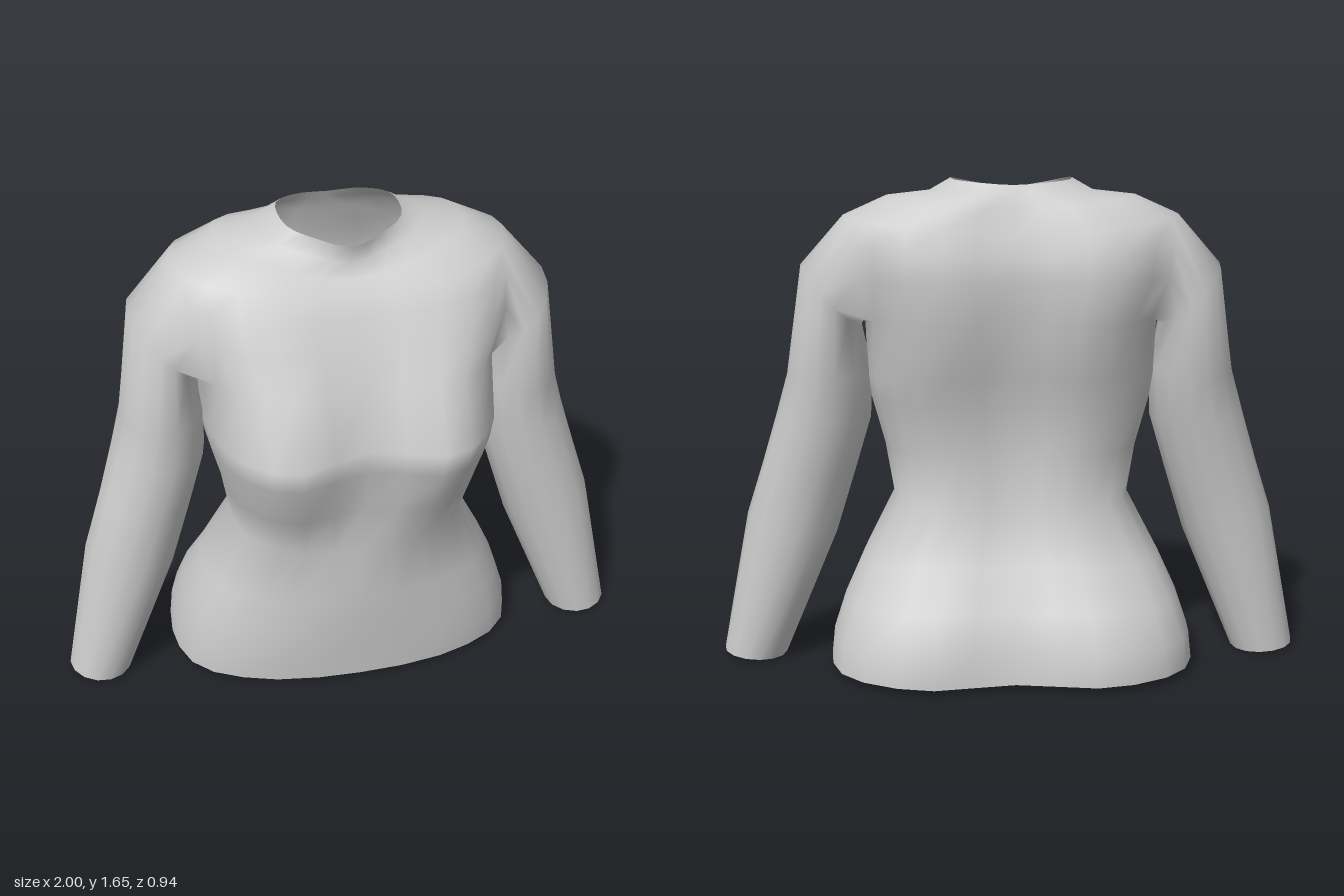
import * as THREE from 'three';

const COLS = 28; // points round each torso ring, 0 = front centre, 7 = left side

// Torso rings, hem to collar:
// [half width, side z, y front, y side, y back, z front centre, z front peak, z back centre, z back peak]
const ROWS = [
  [0.62, -0.08, 0.015, 0.025, 0.02, 0.295, 0.26, -0.42, -0.465],
  [0.61, -0.08, 0.12, 0.12, 0.13, 0.305, 0.27, -0.41, -0.46],
  [0.57, -0.06, 0.24, 0.24, 0.25, 0.32, 0.275, -0.365, -0.40],
  [0.51, -0.03, 0.37, 0.37, 0.38, 0.33, 0.28, -0.285, -0.305],
  [0.40, 0.0, 0.58, 0.58, 0.55, 0.335, 0.295, -0.215, -0.235],
  [0.43, 0.02, 0.75, 0.75, 0.75, 0.34, 0.385, -0.21, -0.24],
  [0.475, 0.0, 0.92, 0.92, 0.9, 0.385, 0.455, -0.215, -0.255],
  [0.485, 0.0, 1.0, 1.0, 1.02, 0.39, 0.47, -0.255, -0.30],
  [0.49, -0.02, 1.2, 1.2, 1.2, 0.325, 0.36, -0.29, -0.34],
  [0.55, -0.04, 1.32, 1.34, 1.33, 0.27, 0.285, -0.31, -0.35],
  [0.56, -0.06, 1.40, 1.45, 1.41, 0.235, 0.235, -0.305, -0.335],
  [0.555, -0.07, 1.46, 1.535, 1.48, 0.20, 0.185, -0.285, -0.305],
  [0.41, -0.07, 1.505, 1.60, 1.56, 0.16, 0.13, -0.26, -0.275],
  [0.27, -0.06, 1.545, 1.615, 1.61, 0.125, 0.085, -0.24, -0.235],
  [0.20, -0.06, 1.61, 1.655, 1.64, 0.145, 0.095, -0.225, -0.215],
];
const HOLE = { r0: 8, r1: 11, c0: 5, c1: 9 }; // armhole in the torso grid

// Sleeve rings, shoulder to cuff: [outer x, outer y, inner x, inner y, z front, z back]
const SLEEVE = [
  [0.70, 1.37, 0.50, 1.17, 0.165, -0.27],
  [0.755, 1.0, 0.47, 1.02, 0.15, -0.225],
  [0.795, 0.86, 0.475, 0.85, 0.142, -0.20],
  [0.85, 0.68, 0.535, 0.65, 0.138, -0.165],
  [0.905, 0.51, 0.60, 0.44, 0.135, -0.145],
  [1.0, 0.02, 0.785, 0.0, 0.13, -0.11],
];

// One smooth, symmetric torso ring
function torsoRing([w, zs, yF, yS, yB, fc, fp, bc, bp]) {
  const mix = THREE.MathUtils.lerp;
  const half = [
    [0.55 * w, mix(yF, yS, 0.4), fp],
    [0.9 * w, mix(yF, yS, 0.8), mix(zs, fp, 0.65)],
    [w, yS, zs],
    [0.9 * w, mix(yB, yS, 0.8), mix(zs, bp, 0.65)],
    [0.5 * w, mix(yB, yS, 0.4), bp],
  ];
  const mirrored = half.map(([x, y, z]) => [-x, y, z]).reverse();
  const pts = [[0, yF, fc], ...half, [0, yB, bc], ...mirrored].map((p) => new THREE.Vector3(...p));
  const curve = new THREE.CatmullRomCurve3(pts, true);
  return Array.from({ length: COLS }, (_, c) => curve.getPoint(c / COLS));
}

// Armhole outline as grid cells: under, up the back, over, down the front
function armholeLoop() {
  const { r0, r1, c0, c1 } = HOLE;
  const loop = [];
  for (let c = c0; c <= c1; c++) loop.push([r0, c]);
  for (let r = r0 + 1; r < r1; r++) loop.push([r, c1]);
  for (let c = c1; c >= c0; c--) loop.push([r1, c]);
  for (let r = r1 - 1; r > r0; r--) loop.push([r, c0]);
  return loop;
}

export function createModel() {
  const positions = [];
  const add = (x, y, z) => positions.push(x, y, z) / 3 - 1;
  const quad = (list, a, b, c, d) => list.push(a, b, c, a, c, d);

  // Torso grid, leaving both armholes open
  const grid = ROWS.map((row) => torsoRing(row).map((p) => add(p.x, p.y, p.z)));
  const torso = [];
  const inHole = (r, c) => r >= HOLE.r0 && r < HOLE.r1 && c >= HOLE.c0 && c < HOLE.c1;
  for (let r = 0; r < ROWS.length - 1; r++) {
    for (let c = 0; c < COLS; c++) {
      if (inHole(r, c) || inHole(r, COLS - 1 - c)) continue;
      const n = (c + 1) % COLS;
      quad(torso, grid[r][c], grid[r][n], grid[r + 1][n], grid[r + 1][c]);
    }
  }

  // Sleeve grown from an armhole; side is +1 for left, -1 for right
  function sleeve(side) {
    const faces = [];
    let prev = armholeLoop().map(([r, c]) => grid[r][side > 0 ? c : COLS - c]);
    const n = prev.length;
    const under = (HOLE.c1 - HOLE.c0) / 2; // loop index at the armpit
    for (const [ox, oy, ix, iy, zf, zb] of SLEEVE) {
      const ring = prev.map((_, j) => {
        const a = ((j - under) / n) * Math.PI * 2;
        const t = (1 - Math.cos(a)) / 2;
        return add(side * (ix + (ox - ix) * t), iy + (oy - iy) * t,
          (zf + zb) / 2 - Math.sin(a) * (zf - zb) / 2);
      });
      for (let j = 0; j < n; j++) {
        const k = (j + 1) % n;
        if (side > 0) quad(faces, prev[j], prev[k], ring[k], ring[j]);
        else quad(faces, prev[k], prev[j], ring[j], ring[k]);
      }
      prev = ring;
    }
    return faces;
  }
  const left = sleeve(1);
  const right = sleeve(-1);

  // Normals are worked out on the whole garment so the shoulder seams stay smooth
  const whole = new THREE.BufferGeometry();
  whole.setAttribute('position', new THREE.Float32BufferAttribute(positions, 3));
  whole.setIndex([...torso, ...left, ...right]);
  whole.computeVertexNormals();

  const fabric = new THREE.MeshStandardMaterial({ color: 0xcccccc, side: THREE.DoubleSide });
  fabric.name = 'grey fabric';

  const group = new THREE.Group();
  group.name = 'longSleeveTop';
  for (const [name, faces] of [['torso', torso], ['leftSleeve', left], ['rightSleeve', right]]) {
    const geometry = whole.clone();
    geometry.setIndex(faces);
    const mesh = new THREE.Mesh(geometry, fabric);
    mesh.name = name;
    group.add(mesh);
  }
  return group;
}
